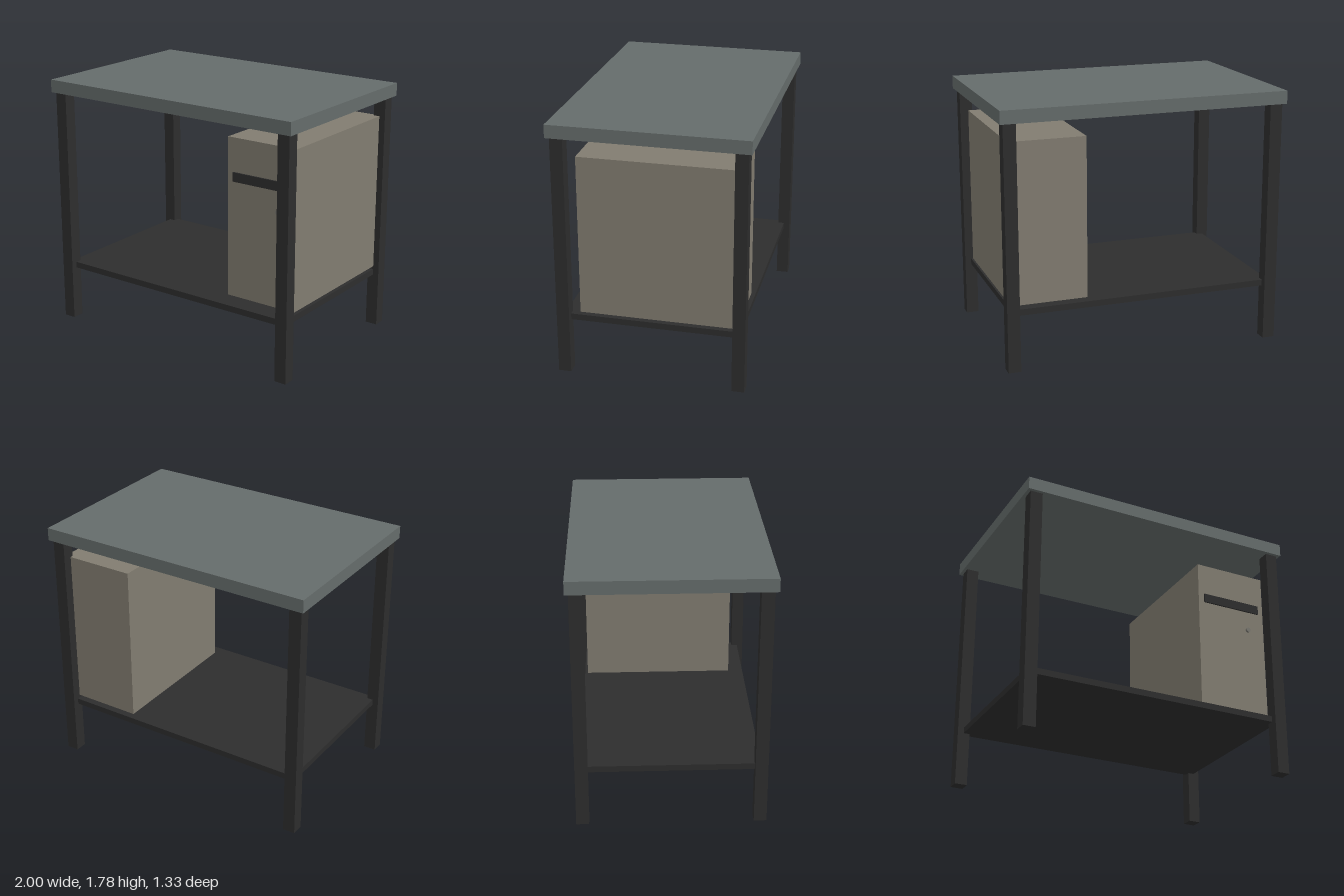
import * as THREE from 'three';

export function createModel() {
  const model = new THREE.Group();
  model.name = 'workbench';

  const material = (name, color) => {
    const m = new THREE.MeshStandardMaterial({ color });
    m.name = name;
    return m;
  };
  const slate = material('slate top', 0x656c6b);
  const dark = material('dark steel', 0x2d2d2d);
  const beige = material('beige cabinet', 0x817c70);
  const metal = material('lock metal', 0x77766f);

  const add = (name, geometry, mat, x, y, z) => {
    const mesh = new THREE.Mesh(geometry, mat);
    mesh.name = name;
    mesh.position.set(x, y, z);
    model.add(mesh);
    return mesh;
  };
  // Box given by its lower and upper limits on each axis
  const box = (name, mat, [x0, x1], [y0, y1], [z0, z1]) =>
    add(name, new THREE.BoxGeometry(x1 - x0, y1 - y0, z1 - z0), mat,
      (x0 + x1) / 2, (y0 + y1) / 2, (z0 + z1) / 2);

  // Worktop and lower shelf
  box('worktop', slate, [-1, 1], [1.69, 1.78], [-0.667, 0.667]);
  box('lowerShelf', dark, [-0.933, 0.933], [0.38, 0.423], [-0.6, 0.6]);

  // Four square legs
  const legGeometry = new THREE.BoxGeometry(0.087, 1.69, 0.087);
  for (const sx of [-1, 1]) {
    for (const sz of [-1, 1]) {
      const name = (sz > 0 ? 'front' : 'back') + (sx > 0 ? 'Left' : 'Right') + 'Leg';
      add(name, legGeometry, dark, sx * 0.933, 0.845, sz * 0.6);
    }
  }

  // Cabinet with handle and round lock
  box('cabinet', beige, [0.4, 0.933], [0.445, 1.556], [-0.578, 0.489]);
  box('cabinetHandle', dark, [0.444, 0.889], [1.258, 1.322], [0.489, 0.5]);
  const lock = add('cabinetLock', new THREE.CylinderGeometry(0.017, 0.017, 0.014, 24),
    metal, 0.8, 1.113, 0.496);
  lock.rotation.x = Math.PI / 2;

  return model;
}
